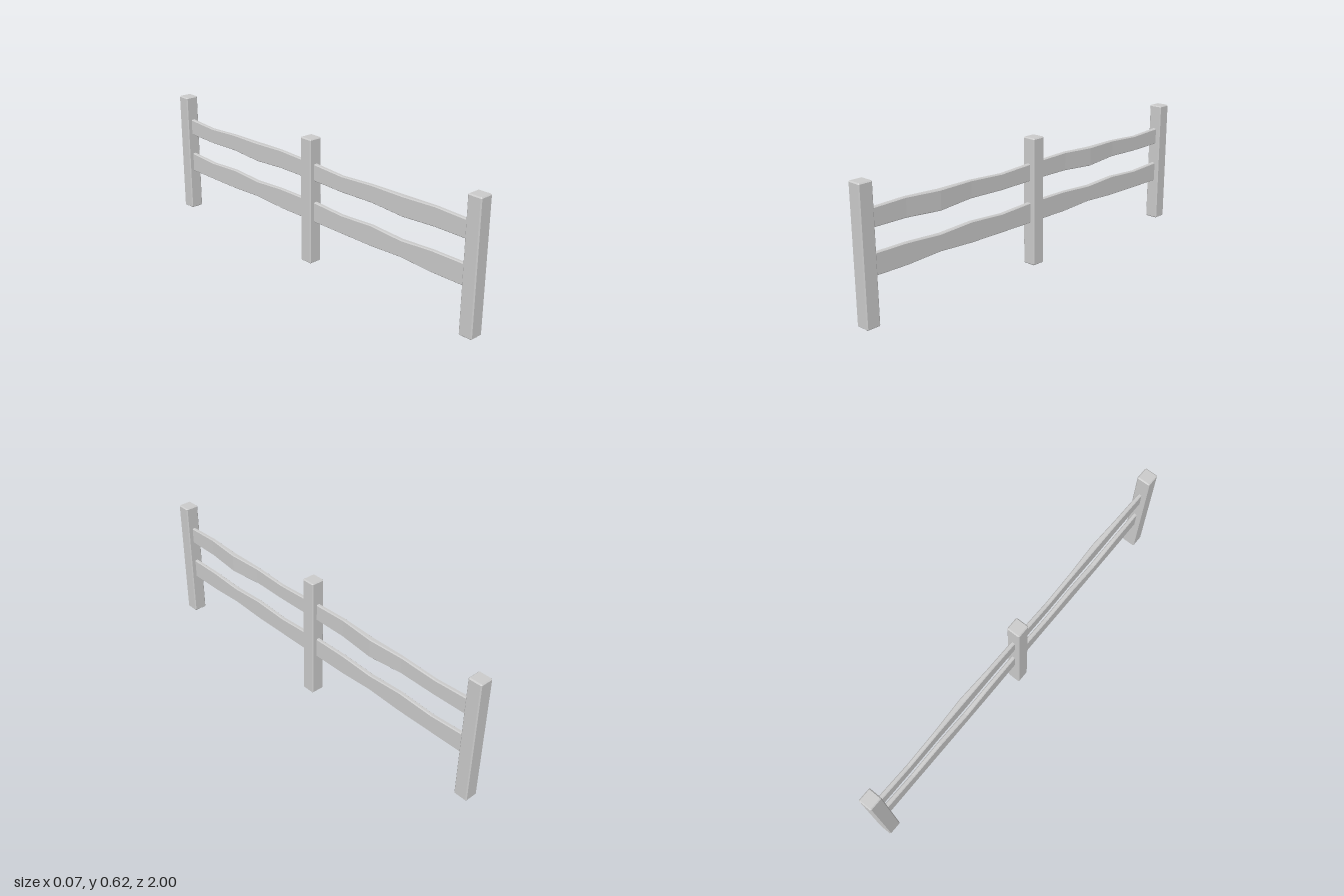
import * as THREE from 'three';

const material = new THREE.MeshStandardMaterial({ color: 0xcccccc, flatShading: true });
const SPACING = 0.966;

// Skins a row of equal rings (each a list of [x, y, z]) and caps both ends.
// Rings run counter-clockwise when seen from the end the row advances towards.
function loft(rings) {
  const n = rings[0].length;
  const index = [];
  for (let r = 0; r < rings.length - 1; r++) {
    for (let i = 0; i < n; i++) {
      const a = r * n + i, b = r * n + (i + 1) % n;
      index.push(a, b, b + n, a, b + n, a + n);
    }
  }
  const last = (rings.length - 1) * n;
  for (let i = 1; i < n - 1; i++) {
    index.push(0, i + 1, i, last, last + i, last + i + 1);
  }
  const geometry = new THREE.BufferGeometry();
  geometry.setAttribute('position', new THREE.Float32BufferAttribute(rings.flat(2), 3));
  geometry.setIndex(index);
  const flat = geometry.toNonIndexed();
  flat.computeVertexNormals();
  return flat;
}

// Rectangle with clipped corners, counter-clockwise
function clippedRect(x0, x1, y0, y1, c) {
  return [
    [x0 + c, y0], [x1 - c, y0], [x1, y0 + c], [x1, y1 - c],
    [x1 - c, y1], [x0 + c, y1], [x0, y1 - c], [x0, y0 + c],
  ];
}

// Square post with bevelled edges at the sides, top and bottom
function postGeometry() {
  const h = 0.62, w = 0.034, c = 0.005;
  const levels = [[0, w - c, 0.001], [c, w, c], [h - c, w, c], [h, w - c, 0.001]];
  return loft(levels.map(([y, s, clip]) =>
    clippedRect(-s, s, -s, s, clip).map(([x, z]) => [x, y, -z])));
}

// Wavy board: stations of [z, bottom, top, outer x, inner x]
function railGeometry(stations) {
  return loft(stations.map(([z, y0, y1, x0, x1]) =>
    clippedRect(x0, x1, y0, y1, 0.004).map(([x, y]) => [x, y, z])));
}

const upperRail = [
  [0.025, 0.415, 0.498, -0.01, 0.011],
  [0.215, 0.411, 0.488, -0.01, 0.009],
  [0.40, 0.416, 0.498, -0.01, 0.010],
  [0.58, 0.405, 0.498, -0.009, 0.018],
  [0.757, 0.416, 0.506, -0.01, 0.010],
  [0.94, 0.416, 0.50, -0.01, 0.009],
];
const lowerRail = [
  [0.025, 0.21, 0.31, -0.01, 0.011],
  [0.215, 0.21, 0.30, -0.01, 0.010],
  [0.40, 0.211, 0.31, -0.011, 0.010],
  [0.58, 0.22, 0.30, -0.013, 0.010],
  [0.757, 0.21, 0.31, -0.011, 0.009],
  [0.94, 0.21, 0.31, -0.01, 0.009],
];

export function createModel() {
  const fence = new THREE.Group();
  fence.name = 'fence';

  const add = (name, geometry, z) => {
    const mesh = new THREE.Mesh(geometry, material);
    mesh.name = name;
    mesh.position.z = z;
    fence.add(mesh);
  };

  // Three posts
  const post = postGeometry();
  [['frontPost', SPACING], ['middlePost', 0], ['backPost', -SPACING]]
    .forEach(([name, z]) => add(name, post, z));

  // The same pair of rails fills both bays
  const upper = railGeometry(upperRail);
  const lower = railGeometry(lowerRail);
  [['front', 0], ['back', -SPACING]].forEach(([bay, z]) => {
    add(bay + 'UpperRail', upper, z);
    add(bay + 'LowerRail', lower, z);
  });

  return fence;
}
